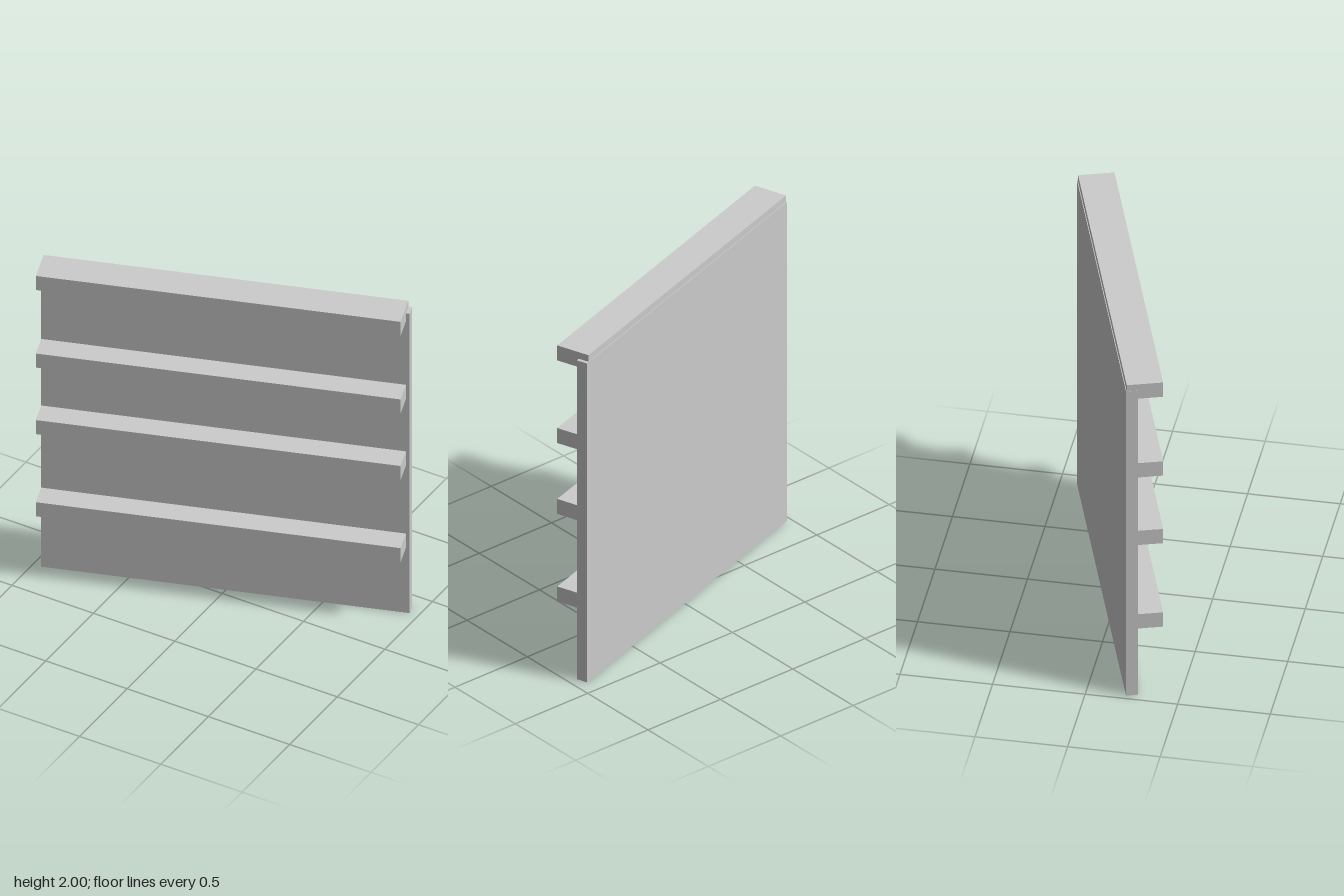
import * as THREE from 'three';

export function createModel() {
  const model = new THREE.Group();
  model.name = 'wallShelf';
  const material = new THREE.MeshStandardMaterial({ color: 0xcccccc, flatShading: true });

  // Box given by its low and high corner along each axis
  function addBox(name, [x0, x1], [y0, y1], [z0, z1]) {
    const mesh = new THREE.Mesh(new THREE.BoxGeometry(x1 - x0, y1 - y0, z1 - z0), material);
    mesh.position.set((x0 + x1) / 2, (y0 + y1) / 2, (z0 + z1) / 2);
    mesh.name = name;
    model.add(mesh);
  }

  // Back panel, reaching slightly past the shelves on one side
  addBox('backPanel', [-0.991, 1.01], [0, 1.96], [-0.0985, -0.035]);

  // Four equal shelves set into the panel, the highest one capping it
  const thickness = 0.092;
  [0.472, 1.01, 1.446, 1.954].forEach((y, i) => {
    addBox(`shelf${i + 1}`, [-0.99, 0.99], [y - thickness / 2, y + thickness / 2], [-0.0945, 0.1005]);
  });

  // The whole unit stands turned about the vertical
  model.rotation.y = THREE.MathUtils.degToRad(18.2);
  return model;
}
